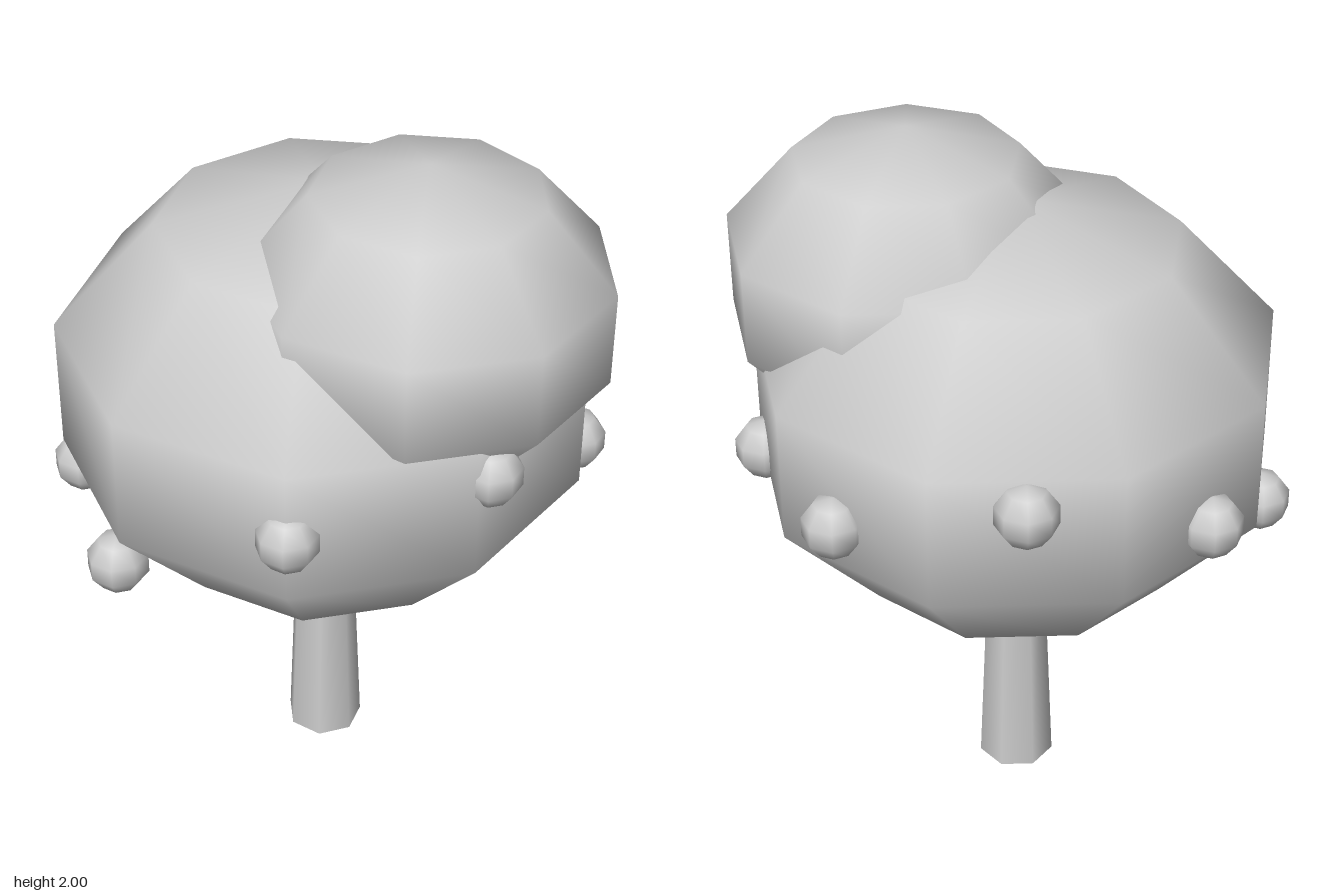
import * as THREE from 'three';

export function createModel() {
  const model = new THREE.Group();
  const grey = new THREE.MeshStandardMaterial({ color: 0xcccccc });
  grey.name = 'light grey';

  function add(name, geometry, x, y, z) {
    const mesh = new THREE.Mesh(geometry, grey);
    mesh.name = name;
    mesh.position.set(x, y, z);
    model.add(mesh);
    return mesh;
  }

  // Low-poly smooth ball with a corner pointing to +z
  const ball = (radius, sides) => new THREE.SphereGeometry(radius, sides, 5, Math.PI / 2);

  // Tapered seven-sided trunk, its top hidden in the crown
  add('trunk', new THREE.CylinderGeometry(0.08, 0.11, 0.76, 7), 0, 0.38, 0);

  // Flattened foliage: large crown and smaller upper clump
  add('crown', ball(0.762, 9).scale(1, 0.807, 1), 0, 1.24, 0);
  add('upperCrown', ball(0.522, 9).scale(1, 0.814, 1), 0.283, 1.575, 0.135);

  // Ring of fruit at uneven heights, starting at the front and going towards +x
  const fruitGeometry = ball(0.0875, 8);
  [1.22, 1.325, 1.1, 1.175, 1.34, 1.15, 0.888, 0.935].forEach((y, i, all) => {
    const angle = (i / all.length) * Math.PI * 2;
    add('fruit' + (i + 1), fruitGeometry, 0.692 * Math.sin(angle), y, 0.692 * Math.cos(angle));
  });

  return model;
}
